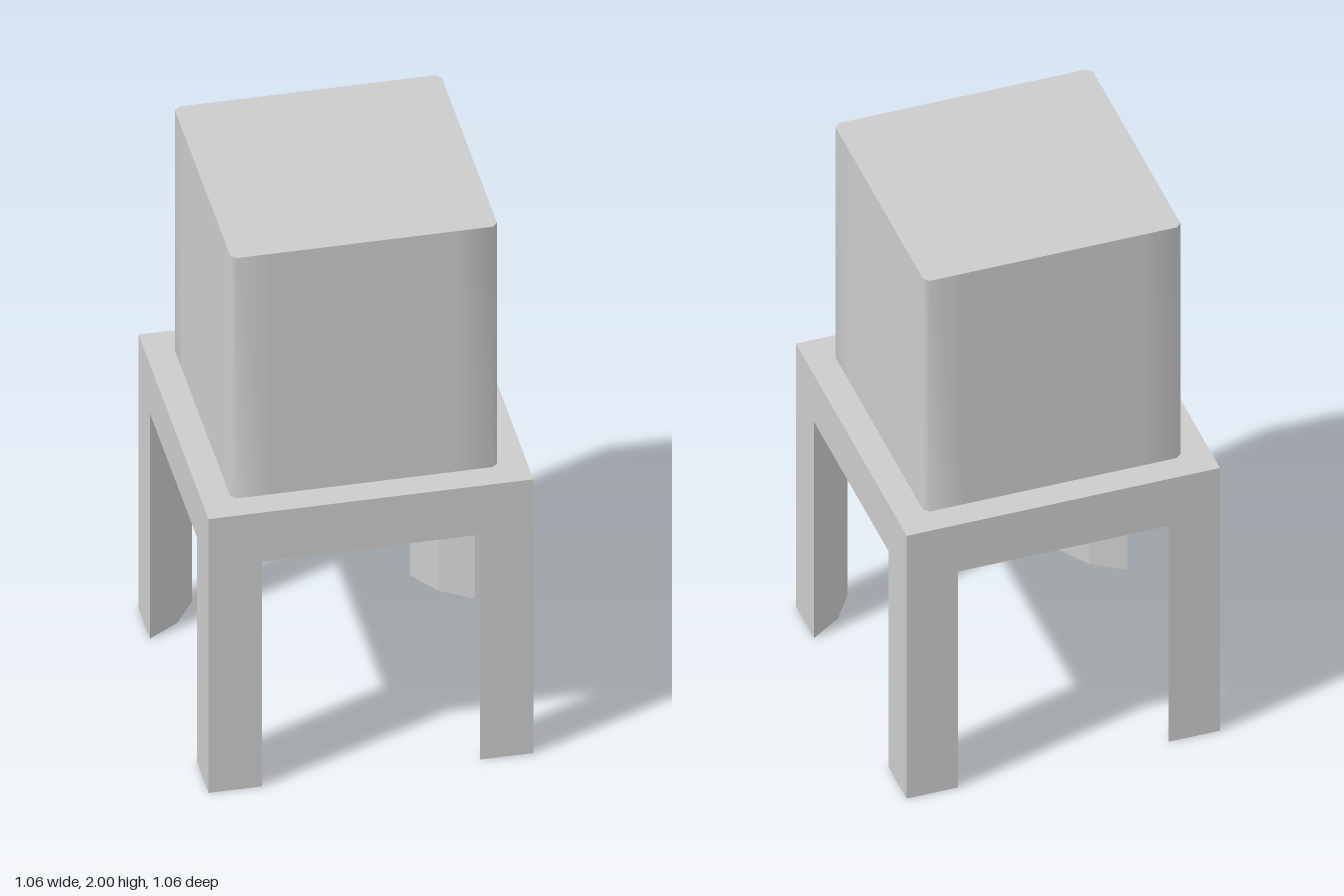
import * as THREE from 'three';
import { toCreasedNormals } from 'three/addons/utils/BufferGeometryUtils.js';

const HALF = 0.532;      // half width of the table
const TOP = 1.065;       // height of the table top
const UNDER = 0.875;     // underside of the table top
const BLOCK = 0.437;     // half width of the block
const CUT = 0.018;       // corner cut of the block

// Upright prism from a floor outline
function prism(points, y0, y1) {
  const geometry = new THREE.ExtrudeGeometry(new THREE.Shape(points), {
    depth: y1 - y0, bevelEnabled: false,
  });
  geometry.rotateX(-Math.PI / 2);
  geometry.translate(0, y0, 0);
  return geometry;
}

export function createModel() {
  const group = new THREE.Group();
  const flat = new THREE.MeshStandardMaterial({ color: 0xcccccc, flatShading: true });
  const smooth = new THREE.MeshStandardMaterial({ color: 0xcccccc });

  function add(name, geometry, material) {
    const mesh = new THREE.Mesh(geometry, material);
    mesh.name = name;
    group.add(mesh);
    return mesh;
  }

  // Thick square table top
  const slab = new THREE.BoxGeometry(HALF * 2, TOP - UNDER, HALF * 2);
  slab.translate(0, (TOP + UNDER) / 2, 0);
  add('tableTop', slab, flat);

  // Corner legs: two outer faces, two slanted inner faces meeting at a ridge
  const end = HALF - 0.175;
  const ridge = HALF - 0.105;
  const leg = prism([
    new THREE.Vector2(HALF, HALF),
    new THREE.Vector2(end, HALF),
    new THREE.Vector2(ridge, ridge),
    new THREE.Vector2(HALF, end),
  ], 0, UNDER);
  for (let i = 0; i < 4; i++) {
    add('leg' + (i + 1), leg, flat).rotation.y = i * Math.PI / 2;
  }

  // Block with softened upright corners; extra points keep the wide faces flat
  const outline = [];
  for (let i = 0; i < 4; i++) {
    for (const y of [-BLOCK + CUT, -0.3, 0.3, BLOCK - CUT]) {
      outline.push(new THREE.Vector2(BLOCK, y)
        .rotateAround(new THREE.Vector2(), i * Math.PI / 2));
    }
  }
  add('block', toCreasedNormals(prism(outline, TOP, 2), 1), smooth);

  return group;
}
